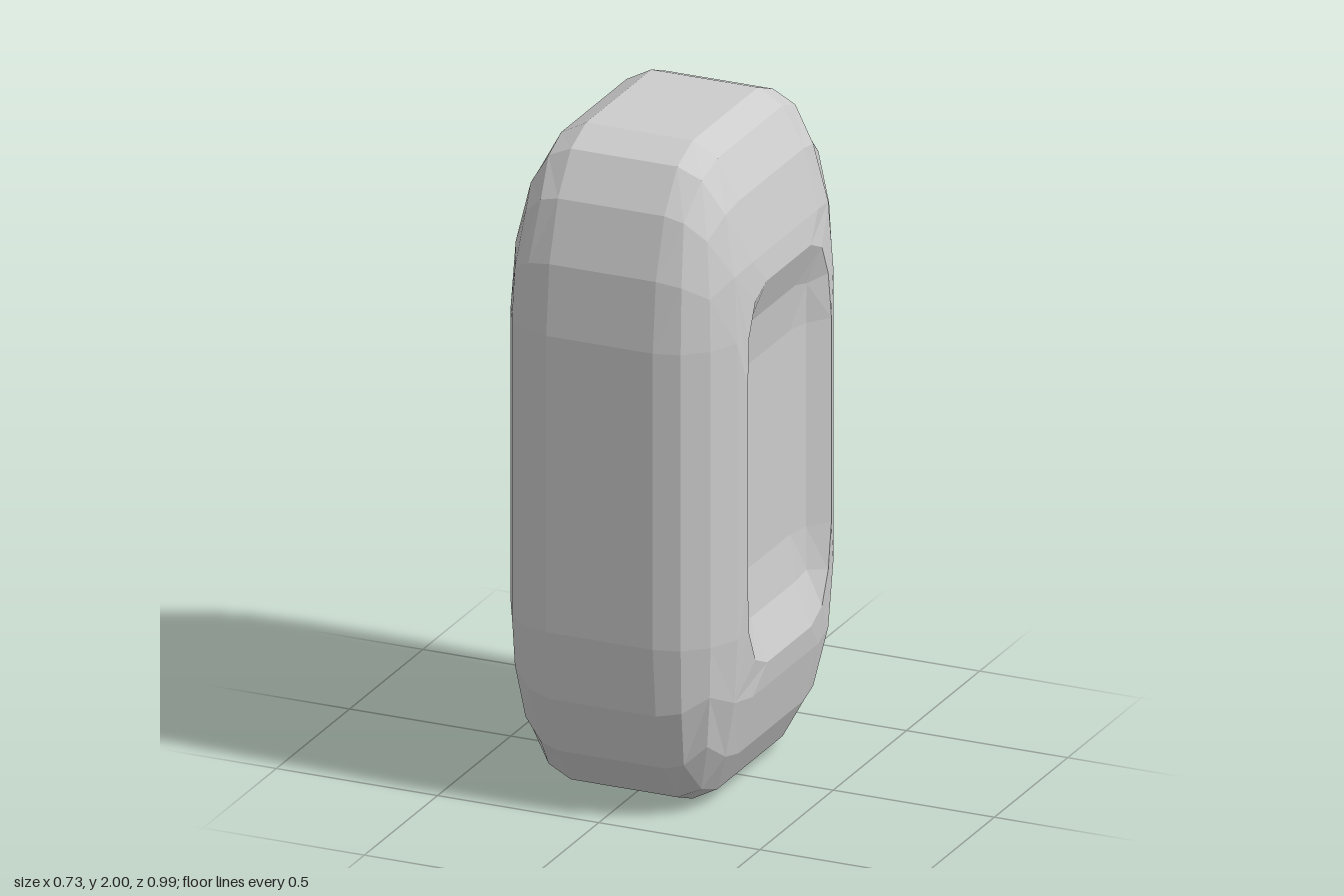
import * as THREE from 'three';

const HALF = [0.367, 1, 0.495]; // half sizes along x, y, z
const CORE = 0.45, ROUND = 0.55; // flat core and corner radius, as fractions
const BEND = [-1, -0.414, 0, 0, 0.414, 1]; // tangents of the grid lines on a face

// point (i, j) of the 5 x 5 grid on one face of the rounded box
function gridPoint(axis, sign, i, j) {
  const u = (axis + 1) % 3, v = (axis + 2) % 3;
  const d = [0, 0, 0];
  d[axis] = sign; d[u] = BEND[i]; d[v] = BEND[j];
  const core = [0, 0, 0];
  core[axis] = sign; core[u] = i < 3 ? -1 : 1; core[v] = j < 3 ? -1 : 1;
  const len = Math.hypot(...d);
  return d.map((c, k) => (core[k] * CORE + (c / len) * ROUND) * HALF[k]);
}

function quad(out, a, b, c, d, flip) {
  if (flip) out.push(...a, ...c, ...b, ...a, ...d, ...c);
  else out.push(...a, ...b, ...c, ...a, ...c, ...d);
}

// closed loop on one side, mirrored from the points [x, y, z] of one corner
function sideLoop(corner, sign) {
  const back = [...corner].reverse();
  const put = (pts, sy, sz) => pts.map(([x, y, z]) => [x * sign, y * sy, z * sz]);
  return [...put(corner, 1, 1), ...put(back, -1, 1), ...put(corner, -1, -1), ...put(back, 1, -1)];
}

function bridge(out, outer, inner, flip) {
  for (let i = 0; i < outer.length; i++) {
    const k = (i + 1) % outer.length;
    quad(out, outer[i], outer[k], inner[k], inner[i], flip);
  }
}

function makeMesh(name, positions, material) {
  const geometry = new THREE.BufferGeometry();
  geometry.setAttribute('position', new THREE.Float32BufferAttribute(positions, 3));
  geometry.translate(0, 1, 0);
  geometry.computeVertexNormals(); // unshared corners give flat facets
  const mesh = new THREE.Mesh(geometry, material);
  mesh.name = name;
  return mesh;
}

export function createModel() {
  const group = new THREE.Group();
  group.name = 'roundedBlock';
  const grey = new THREE.MeshStandardMaterial({ color: 0xcccccc });
  grey.name = 'light grey';

  // one corner of each recess loop, from the top edge round to the front edge
  const opening = [[4, 3], [4, 4], [4, 4], [3, 4]].map(([i, j]) => gridPoint(0, 1, i, j));
  const rim = [[0.363, 0.58, 0.15], [0.362, 0.545, 0.227], [0.362, 0.45, 0.27], [0.365, 0.31, 0.285]];
  const step = [[0.315, 0.45, 0.15], [0.322, 0.435, 0.21], [0.322, 0.435, 0.21], [0.315, 0.31, 0.22]];
  const floor = rim.map(() => [0.298, 0.31, 0.15]);

  // rounded shell, left open where the side recesses sit
  const shell = [];
  for (let axis = 0; axis < 3; axis++) {
    for (const sign of [1, -1]) {
      for (let i = 0; i < 5; i++) {
        for (let j = 0; j < 5; j++) {
          if (axis === 0 && i > 0 && i < 4 && j > 0 && j < 4) continue;
          const p = (a, b) => gridPoint(axis, sign, a, b);
          quad(shell, p(i, j), p(i + 1, j), p(i + 1, j + 1), p(i, j + 1), sign < 0);
        }
      }
    }
  }

  // side borders and shallow dished recesses
  for (const sign of [1, -1]) {
    const flip = sign < 0;
    const loops = [opening, rim, step, floor].map((c) => sideLoop(c, sign));
    bridge(shell, loops[0], loops[1], flip);
    const dish = [];
    bridge(dish, loops[1], loops[2], flip);
    bridge(dish, loops[2], loops[3], flip);
    const f = loops[3];
    quad(dish, f[0], f[4], f[8], f[12], flip);
    group.add(makeMesh(sign > 0 ? 'leftRecess' : 'rightRecess', dish, grey));
  }
  group.add(makeMesh('body', shell, grey));
  return group;
}
